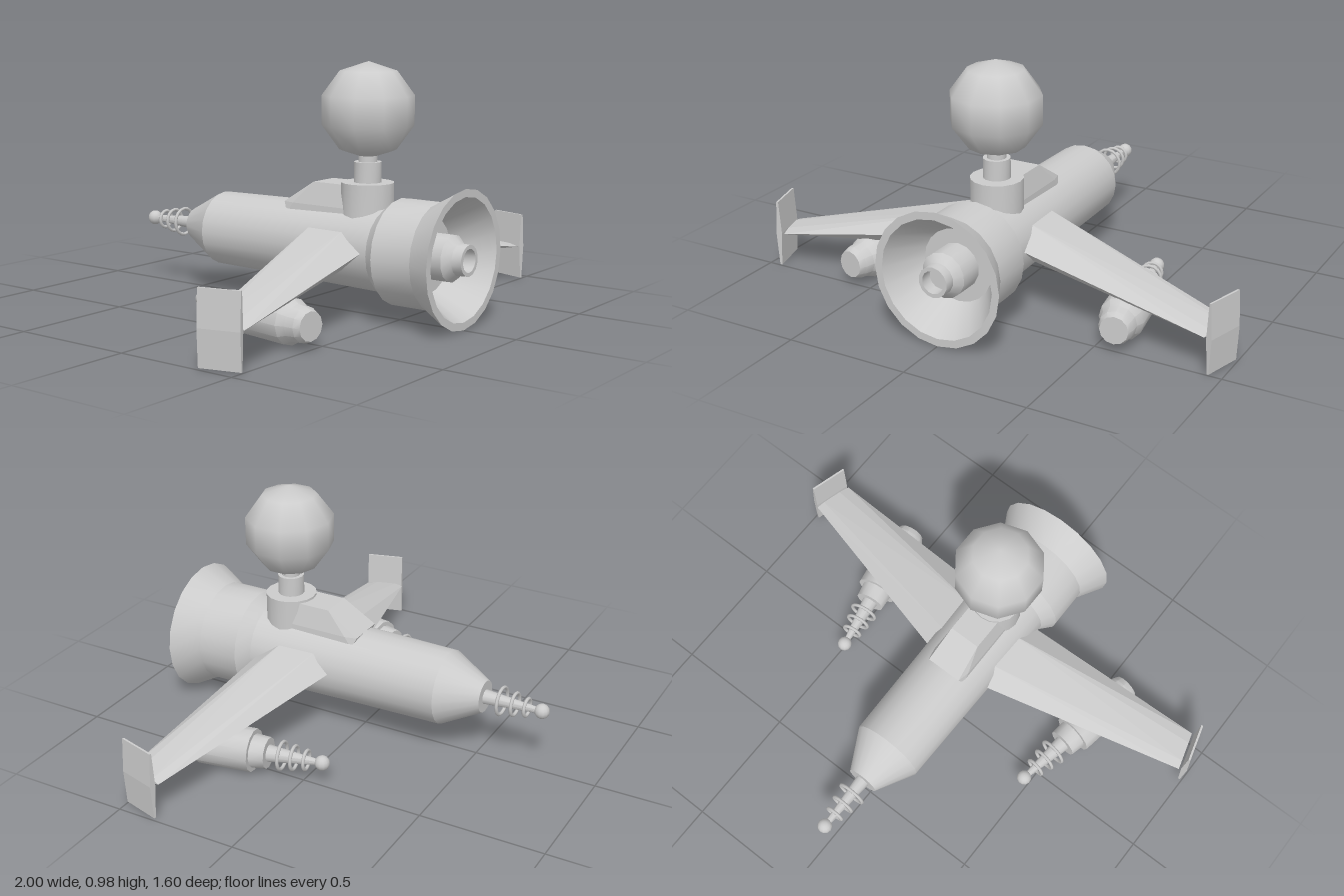
import * as THREE from 'three';
import { toCreasedNormals } from 'three/addons/utils/BufferGeometryUtils.js';
import { ConvexGeometry } from 'three/addons/geometries/ConvexGeometry.js';

const material = new THREE.MeshStandardMaterial({ color: 0xcccccc });
const AXIS_Y = 0.265;

function mesh(name, geometry) {
  const m = new THREE.Mesh(geometry, material);
  m.name = name;
  return m;
}

// Turned part along z; profile is [z, radius] from back to front
function turned(name, profile, segments, crease) {
  const g = new THREE.LatheGeometry(profile.map(([z, r]) => new THREE.Vector2(r, z)), segments);
  g.rotateX(Math.PI / 2);
  return mesh(name, toCreasedNormals(g, crease));
}

function hull(name, points) {
  return mesh(name, new ConvexGeometry(points.map((p) => new THREE.Vector3(...p))));
}

// Tapered spike pointing to -z, with rings and a ball tip
function antenna(name, start, end, radius, rings) {
  const group = new THREE.Group();
  group.name = name;
  group.add(turned('spike', [[end, 0.012], [start, radius]], 12, 0.6));
  for (const [z, r] of rings) {
    const ring = mesh('ring', new THREE.TorusGeometry(r - 0.007, 0.007, 6, 16));
    ring.position.z = z;
    group.add(ring);
  }
  const ball = mesh('ballTip', new THREE.SphereGeometry(0.03, 12, 8));
  ball.position.z = end - 0.02;
  group.add(ball);
  return group;
}

function wing(side) {
  const root = [[0.08, 0.27], [0.16, 0.337], [0.32, 0.337], [0.42, 0.27], [0.32, 0.187], [0.19, 0.195]];
  const tip = [[0.335, 0.142], [0.37, 0.151], [0.45, 0.151], [0.495, 0.142], [0.45, 0.133], [0.37, 0.133]];
  return hull('wing', [
    ...root.map(([z, y]) => [side * 0.12, y + 0.008, z]),
    ...tip.map(([z, y]) => [side * (0.968 - (z - 0.34) * 0.28), y, z]),
  ]);
}

// Upright plate on the wing tip, thickest at mid height
function endPlate(side) {
  const points = [];
  for (const [y, t] of [[-0.138, 0.004], [0, 0.012], [0.138, 0.004]])
    for (const z of [-0.08, 0.08])
      for (const s of [-1, 1]) points.push([s * t, y, z]);
  const plate = hull('endPlate', points);
  plate.position.set(side * 0.967, 0.142, 0.423);
  plate.rotation.y = -side * 0.27;
  return plate;
}

// Pod slung under the wing, toed in towards the back
function pod(side) {
  const group = new THREE.Group();
  group.name = 'wingPod';
  group.add(turned('podBody', [
    [-0.18, 0], [-0.18, 0.062], [-0.12, 0.067], [-0.12, 0.086], [0.1, 0.086],
    [0.13, 0.07], [0.17, 0.066], [0.195, 0.055], [0.195, 0],
  ], 12, 0.55));
  group.add(antenna('podAntenna', -0.17, -0.38, 0.035, [[-0.235, 0.062], [-0.285, 0.054], [-0.335, 0.045]]));
  group.position.set(side * 0.55, 0.09, 0.32);
  group.rotation.y = side * 0.17;
  return group;
}

export function createModel() {
  const model = new THREE.Group();
  model.name = 'rocketPlane';

  // Fuselage with flared bell, nozzle and tail antenna on one axis
  const core = new THREE.Group();
  core.name = 'fuselage';
  core.position.y = AXIS_Y;
  core.add(turned('hullAndBell', [
    [-0.53, 0], [-0.53, 0.065], [-0.37, 0.15], [0.02, 0.156], [0.45, 0.165],
    [0.5, 0.205], [0.67, 0.205], [0.78, 0.265], [0.78, 0.235], [0.63, 0.145], [0.63, 0],
  ], 20, 0.4));
  core.add(turned('nozzle', [
    [0.6, 0.09], [0.73, 0.09], [0.76, 0.062], [0.8, 0.06], [0.8, 0.045], [0.75, 0.045], [0.75, 0],
  ], 14, 0.5));
  core.add(antenna('tailAntenna', -0.52, -0.747, 0.03, [[-0.6, 0.062], [-0.655, 0.052], [-0.705, 0.042]]));
  model.add(core);

  // Turret: base, neck, collar and faceted globe
  const turret = new THREE.Group();
  turret.name = 'turret';
  turret.position.z = 0.345;
  for (const [name, r, y0, y1] of [['turretBase', 0.103, 0.36, 0.518], ['neck', 0.053, 0.5, 0.597], ['collar', 0.037, 0.59, 0.64]]) {
    const part = mesh(name, toCreasedNormals(new THREE.CylinderGeometry(r, r, y1 - y0, 16), 0.5));
    part.position.y = (y0 + y1) / 2;
    turret.add(part);
  }
  const globe = mesh('globe', new THREE.SphereGeometry(0.186, 10, 5));
  globe.rotation.y = Math.PI / 2;
  globe.position.y = 0.794;
  turret.add(globe);
  model.add(turret);

  // Sloped fairing behind the turret
  const fairing = [];
  for (const s of [-1, 1])
    fairing.push([s * 0.088, 0.38, 0.34], [s * 0.088, 0.38, 0.02], [s * 0.086, 0.42, 0.34], [s * 0.086, 0.42, 0.05],
      [s * 0.065, 0.508, 0.34], [s * 0.065, 0.508, 0.135], [s * 0.075, 0.42, 0]);
  model.add(hull('fairing', fairing));

  for (const side of [-1, 1]) model.add(wing(side), endPlate(side), pod(side));
  return model;
}
